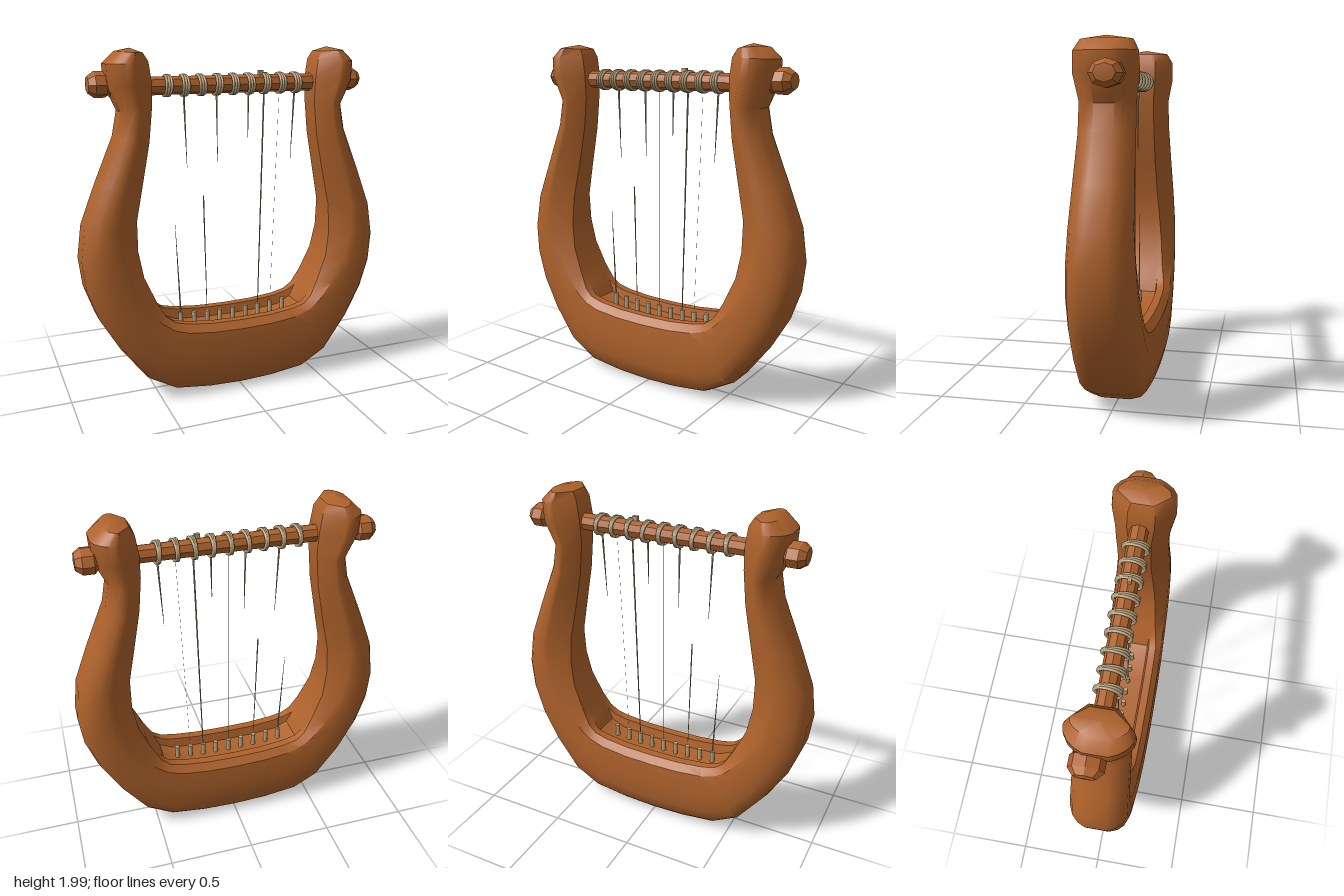
import * as THREE from 'three';
import { toCreasedNormals } from 'three/addons/utils/BufferGeometryUtils.js';

const wood = new THREE.MeshStandardMaterial({ color: 0xae622b });
wood.name = 'wood';
const cord = new THREE.MeshStandardMaterial({ color: 0xb8a27e });
cord.name = 'cord';

// Half of the frame, from the head of the left arm down to the middle of the base:
// outer x, outer y, inner x, inner y, half depth, base shaping (0 arm, 1 base), groove depth
const STATIONS = [
  [0.665, 1.982, 0.53, 1.975, 0.135, 0, 0],
  [0.73, 1.92, 0.505, 1.93, 0.165, 0, 0],
  [0.725, 1.81, 0.49, 1.82, 0.17, 0, 0],
  [0.662, 1.67, 0.49, 1.69, 0.148, 0, 0],
  [0.69, 1.53, 0.51, 1.5, 0.149, 0, 0],
  [0.8, 1.27, 0.555, 1.27, 0.157, 0, 0],
  [0.885, 1.05, 0.597, 1.07, 0.165, 0.1, 0],
  [0.91, 0.86, 0.6, 0.9, 0.175, 0.3, 0],
  [0.89, 0.69, 0.575, 0.75, 0.182, 0.5, 0],
  [0.83, 0.52, 0.51, 0.6, 0.188, 0.7, 0],
  [0.72, 0.33, 0.46, 0.51, 0.192, 0.9, 0],
  [0.57, 0.13, 0.41, 0.47, 0.196, 1, 0.1],
  [0.41, 0.04, 0.33, 0.45, 0.2, 1, 0.14],
  [0.2, 0.015, 0.18, 0.434, 0.203, 1, 0.13],
  [0, 0.008, 0, 0.43, 0.204, 1, 0.13],
];

// One closed ring of the frame: s runs from the outer to the inner edge, z across the depth
function frameRing([ox, oy, ix, iy, depth, base, groove], side) {
  const mix = (a, b) => a + (b - a) * base;
  const half = [
    [0, mix(0.36, 0.4)],
    [mix(0.08, 0.04), mix(0.6, 0.7)],
    [mix(0.2, 0.12), mix(0.82, 0.86)],
    [mix(0.36, 0.3), mix(0.97, 0.95)],
    [mix(0.5, 0.6), 1],
    [mix(0.56, 0.9), mix(0.98, 0.94)],
    [1, mix(0.42, 0.76)],
    [1, mix(0.3, 0.52)],
    [1 - groove, mix(0.25, 0.46)],
  ];
  const ring = [...half, ...half.map(([s, z]) => [s, -z]).reverse()];
  return ring.map(([s, z]) => [side * (ox + (ix - ox) * s), oy + (iy - oy) * s, z * depth]);
}

function frameGeometry() {
  const rings = [
    ...STATIONS.map((s) => frameRing(s, 1)),
    ...STATIONS.slice(0, -1).reverse().map((s) => frameRing(s, -1)),
  ];
  const n = rings[0].length;
  const pos = [];
  const tri = (a, b, c) => pos.push(...a, ...b, ...c);
  for (let i = 0; i < rings.length - 1; i++) {
    for (let j = 0; j < n; j++) {
      const k = (j + 1) % n;
      tri(rings[i][j], rings[i][k], rings[i + 1][k]);
      tri(rings[i][j], rings[i + 1][k], rings[i + 1][j]);
    }
  }
  // Domed tops of the two arms
  const first = rings[0], last = rings[rings.length - 1];
  for (let j = 0; j < n; j++) {
    const k = (j + 1) % n;
    tri([0.59, 2, 0], first[k], first[j]);
    tri([-0.59, 2, 0], last[j], last[k]);
  }
  const geometry = new THREE.BufferGeometry();
  geometry.setAttribute('position', new THREE.Float32BufferAttribute(pos, 3));
  return toCreasedNormals(geometry, 0.6);
}

function addMesh(parent, name, geometry, material, x = 0, y = 0, z = 0) {
  const mesh = new THREE.Mesh(geometry, material);
  mesh.name = name;
  mesh.position.set(x, y, z);
  parent.add(mesh);
  return mesh;
}

// Thin tapered rod between two points
function addString(parent, top, bottom, rTop, rBottom) {
  const dir = new THREE.Vector3().subVectors(top, bottom);
  const mid = top.clone().add(bottom).multiplyScalar(0.5);
  const rod = addMesh(parent, 'string', new THREE.CylinderGeometry(rTop, rBottom, dir.length(), 8), cord, mid.x, mid.y, mid.z);
  rod.quaternion.setFromUnitVectors(new THREE.Vector3(0, 1, 0), dir.normalize());
}

// Stout stretch of each string: start and end along its length, then the two radii
const STRINGS = [
  [0.58, 1, 0.001, 0.005],
  [0, 0.32, 0.006, 0.001],
  [0.45, 0.98, 0.004, 0.002],
  [0, 0.3, 0.006, 0.001],
  [0, 1, 0.0006, 0.0006],
  [0, 0.2, 0.006, 0.002],
  [0, 1, 0.005, 0.003],
  [0, 1, 0.0006, 0.0006],
  [0, 0.31, 0.006, 0.001],
];

export function createModel() {
  const group = new THREE.Group();
  group.name = 'lyre';
  addMesh(group, 'frame', frameGeometry(), wood);

  // Crossbar and its end knobs
  const barY = 1.797, barZ = -0.006;
  const bar = new THREE.CylinderGeometry(0.05, 0.05, 1.42, 8).rotateZ(Math.PI / 2);
  addMesh(group, 'crossbar', toCreasedNormals(bar, 0.5), wood, 0, barY, barZ);
  const knobProfile = [[0, 0], [0.045, 0], [0.07, 0.025], [0.07, 0.085], [0.045, 0.12], [0, 0.125]]
    .map(([r, h]) => new THREE.Vector2(r, h));
  for (const side of [1, -1]) {
    const knob = new THREE.LatheGeometry(knobProfile, 8).rotateZ(-side * Math.PI / 2).scale(1, 1, 1.25);
    addMesh(group, 'barKnob', toCreasedNormals(knob, 0.5), wood, side * 0.695, 1.81, -0.035);
  }

  // Cord windings, base pegs and strings
  const coil = new THREE.TorusGeometry(0.055, 0.0075, 10, 24).rotateY(Math.PI / 2);
  const peg = new THREE.CylinderGeometry(0.014, 0.014, 0.1, 14);
  STRINGS.forEach(([from, to, rTop, rBottom], i) => {
    const k = i - 4, barX = k * 0.097, pegX = k * 0.083;
    const pegTop = 0.453 + 0.15 * pegX * pegX;
    const winding = new THREE.Group();
    winding.name = 'winding';
    winding.position.set(barX, barY, barZ);
    for (const t of [-1, 0, 1]) {
      const loop = addMesh(winding, 'windingLoop', coil, cord, t * 0.01);
      loop.rotation.set(0, t * 0.08, 0.06 * (i % 3 - 1));
      loop.scale.set(1, 1, 1.18);
    }
    group.add(winding);
    addMesh(group, 'peg', peg, cord, pegX, pegTop - 0.05, 0);
    const top = new THREE.Vector3(barX, barY - 0.05, 0);
    const bottom = new THREE.Vector3(pegX, pegTop, 0);
    addString(group, top.clone().lerp(bottom, from), top.clone().lerp(bottom, to), rTop, rBottom);
  });

  // Loose end of cord tied on top of the bar
  addMesh(group, 'cordKnot', new THREE.BoxGeometry(0.03, 0.028, 0.02), cord, 0.172, 1.857, 0);
  return group;
}
